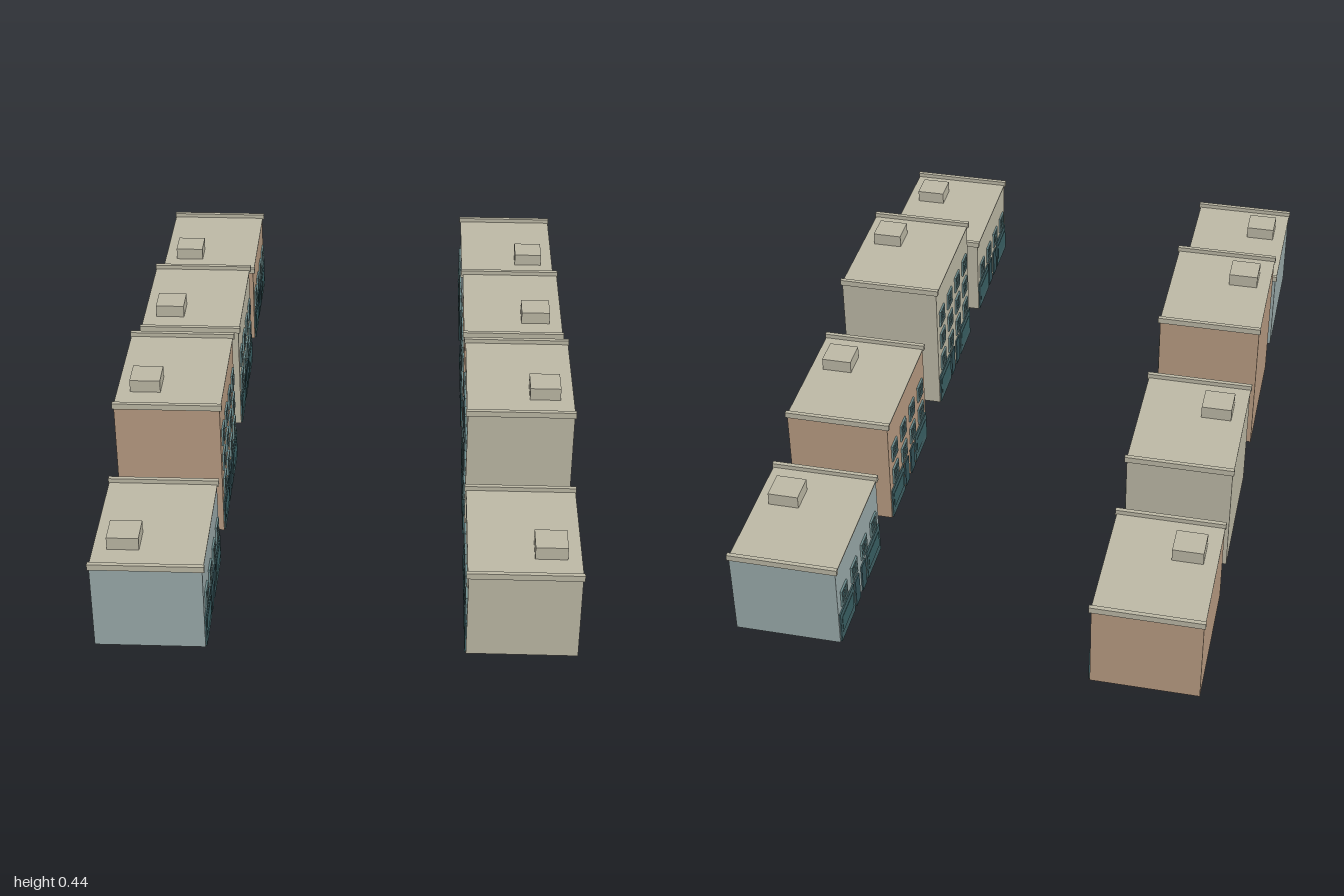
import * as THREE from 'three';

const mat = (name, color) => {
  const m = new THREE.MeshStandardMaterial({ color });
  m.name = name;
  return m;
};

export function createModel() {
  const stone = mat('stone', 0xbdb9a6);
  const brick = mat('tan brick', 0xb89c82);
  const blue = mat('blue render', 0x9aaaaa);
  const frameMat = mat('window frame', 0x6f8f90);
  const glass = mat('window glass', 0x3a6064);
  const shop = mat('shopfront', 0x416266);
  const door = mat('door', 0x35545a);

  const street = new THREE.Group();
  street.name = 'street';
  const FRONT = 0.338, BACK = 0.628, WIDTH = 0.39;
  const MID = (FRONT + BACK) / 2;

  // Box given by its centre and size
  const box = (parent, name, material, x, y, z, w, h, d) => {
    const m = new THREE.Mesh(new THREE.BoxGeometry(w, h, d), material);
    m.name = name;
    m.position.set(x, y, z);
    parent.add(m);
  };

  // Thin bevelled frame around an opening, facing the street
  const frameShape = new THREE.Shape();
  frameShape.moveTo(-0.025, -0.026).lineTo(0.025, -0.026).lineTo(0.025, 0.026).lineTo(-0.025, 0.026);
  const hole = new THREE.Path();
  hole.moveTo(-0.018, -0.019).lineTo(-0.018, 0.019).lineTo(0.018, 0.019).lineTo(0.018, -0.019);
  frameShape.holes.push(hole);
  const frameGeo = new THREE.ExtrudeGeometry(frameShape, {
    depth: 0.003, bevelEnabled: true, bevelThickness: 0.002, bevelSize: 0.001, bevelSegments: 1,
  });

  // side is +1 or -1; the facade always looks towards x = 0
  function building(side, zc, floors, wall) {
    const g = new THREE.Group();
    g.name = 'building';
    g.position.z = zc;
    const H = 0.17 + 0.078 * floors;
    const X = (x) => side * x;

    box(g, 'walls', wall, X(MID), (H - 0.004) / 2, 0, BACK - FRONT, H - 0.004, WIDTH);
    box(g, 'roof', stone, X(MID), H - 0.002, 0, 0.294, 0.004, WIDTH);
    box(g, 'roofHatch', stone, X(0.551), H + 0.018, 0.075, 0.084, 0.036, 0.08);
    for (const s of [-1, 1]) {
      box(g, 'cornice', stone, X(0.482), H + 0.004, s * 0.194, 0.3, 0.017, 0.012);
      // Ground floor: a shopfront at each end and two doors between
      box(g, 'shopfront', shop, X(FRONT - 0.001), 0.047, s * 0.127, 0.006, 0.094, 0.125);
      box(g, 'shopWindow', glass, X(FRONT - 0.003), 0.05, s * 0.127, 0.004, 0.05, 0.1);
      box(g, 'door', door, X(FRONT - 0.001), 0.043, s * 0.031, 0.006, 0.086, 0.038);
    }

    // Four windows on each upper floor
    for (let f = 0; f < floors; f++) {
      for (let c = 0; c < 4; c++) {
        const y = 0.13 + f * 0.081, z = (c - 1.5) * 0.094;
        const frame = new THREE.Mesh(frameGeo, frameMat);
        frame.name = 'windowFrame';
        frame.position.set(X(FRONT), y, z);
        frame.rotation.y = -side * Math.PI / 2;
        g.add(frame);
        box(g, 'windowPane', glass, X(FRONT - 0.001), y, z, 0.004, 0.04, 0.038);
        box(g, 'windowBar', frameMat, X(FRONT - 0.002), y, z, 0.005, 0.038, 0.004);
        box(g, 'windowBar', frameMat, X(FRONT - 0.002), y, z, 0.005, 0.004, 0.036);
      }
    }
    street.add(g);
  }

  // Two facing rows, listed from front to back
  const zs = [0.8, 0.28, -0.28, -0.8];
  const rightRow = [[1, stone], [3, stone], [2, brick], [1, blue]];
  const leftRow = [[1, blue], [3, brick], [2, stone], [1, brick]];
  zs.forEach((z, i) => {
    building(1, z, ...rightRow[i]);
    building(-1, z, ...leftRow[i]);
  });
  return street;
}
